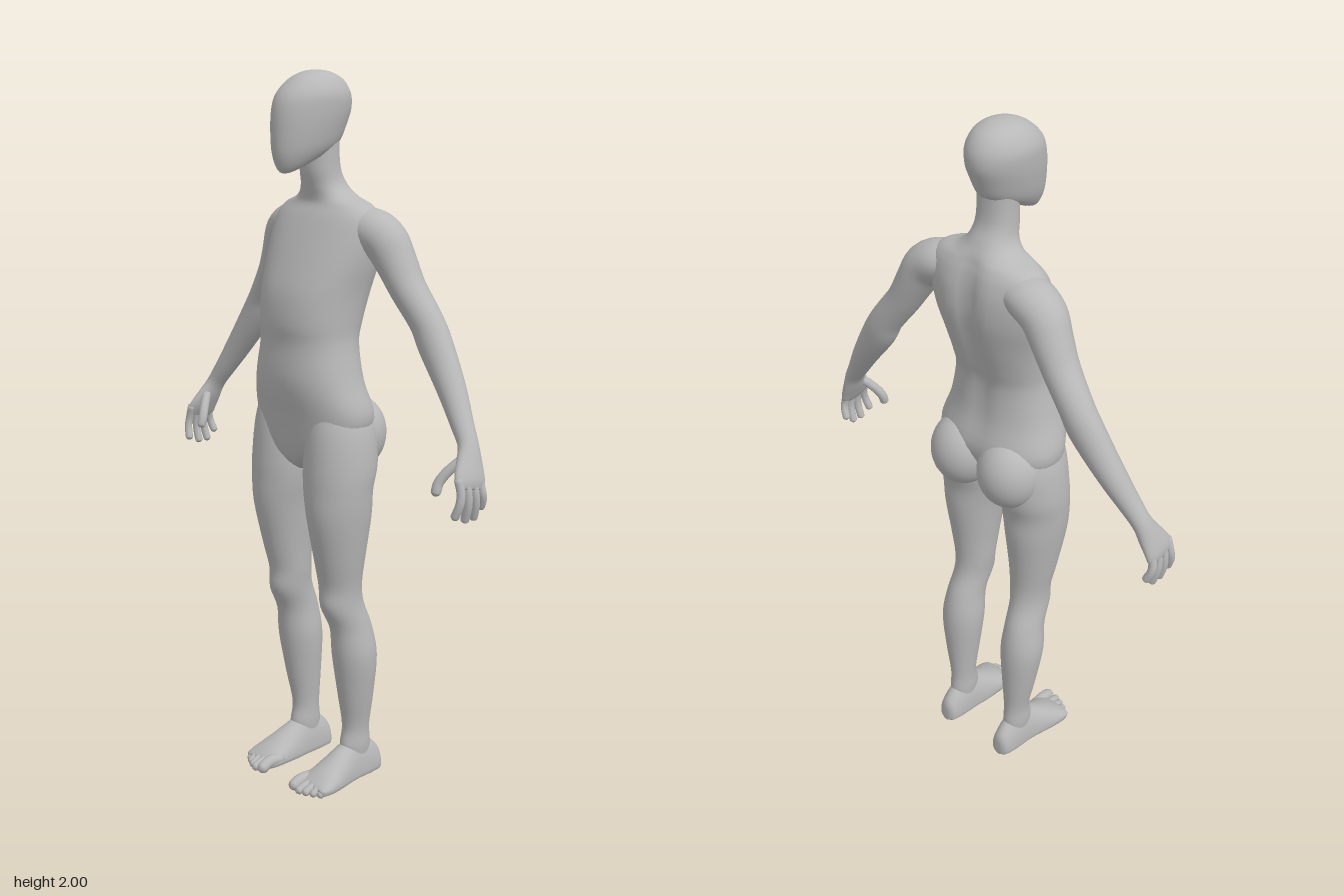
import * as THREE from 'three';

const skin = new THREE.MeshStandardMaterial({ color: 0xb8b8b8 });
skin.name = 'grey skin';

// Catmull-Rom resampling of a list of number rows
function resample(rows, steps) {
  const out = [];
  const last = rows.length - 1;
  for (let i = 0; i < last; i++) {
    const p = [rows[Math.max(i - 1, 0)], rows[i], rows[i + 1], rows[Math.min(i + 2, last)]];
    for (let k = 0; k < steps; k++) {
      const t = k / steps;
      out.push(rows[i].map((_, j) => {
        const [a, b, c, d] = p.map(r => r[j]);
        return b + 0.5 * t * (c - a + t * (2 * a - 5 * b + 4 * c - d + t * (3 * (b - c) + d - a)));
      }));
    }
  }
  out.push(rows[last]);
  return out;
}

// Smooth closed skin through cross-sections; pointAt(row, cos, sin, index, rows) gives [x, y, z]
function loft(name, stations, pointAt, { sides = 24, steps = 4, mirror = 1 } = {}) {
  const rows = resample(stations, steps);
  const pos = [], index = [];
  const ends = [[0, 0, 0], [0, 0, 0]];
  rows.forEach((row, i) => {
    for (let k = 0; k < sides; k++) {
      const a = (k / sides) * Math.PI * 2;
      const p = pointAt(row, Math.cos(a), Math.sin(a), i, rows);
      p[0] *= mirror;
      pos.push(...p);
      if (i === 0) p.forEach((v, j) => { ends[0][j] += v / sides; });
      if (i === rows.length - 1) p.forEach((v, j) => { ends[1][j] += v / sides; });
    }
  });
  const n = rows.length;
  pos.push(...ends[0], ...ends[1]);
  for (let k = 0; k < sides; k++) {
    const m = (k + 1) % sides;
    for (let i = 0; i < n - 1; i++) {
      const a = i * sides + k, b = i * sides + m;
      index.push(a, b, a + sides, b, b + sides, a + sides);
    }
    const e = (n - 1) * sides;
    index.push(n * sides, m, k, n * sides + 1, e + k, e + m);
  }
  // Turn the faces outward, judged by the signed volume
  const v = i => new THREE.Vector3().fromArray(pos, i * 3);
  let volume = 0;
  for (let i = 0; i < index.length; i += 3) volume += v(index[i]).dot(v(index[i + 1]).cross(v(index[i + 2])));
  if (volume < 0) index.reverse();
  const geo = new THREE.BufferGeometry();
  geo.setAttribute('position', new THREE.Float32BufferAttribute(pos, 3));
  geo.setIndex(index);
  geo.computeVertexNormals();
  const mesh = new THREE.Mesh(geo, skin);
  mesh.name = name;
  return mesh;
}

const soft = (v, p) => Math.sign(v) * Math.pow(Math.abs(v), p);

// Tube along a path; rows are [x, y, z, half thickness, half breadth], breadth follows ref
function limb(name, rows, ref, opts) {
  return loft(name, rows, (r, c, s, i, all) => {
    const a = all[Math.max(i - 1, 0)], b = all[Math.min(i + 1, all.length - 1)];
    const t = new THREE.Vector3(b[0] - a[0], b[1] - a[1], b[2] - a[2]).normalize();
    const u = new THREE.Vector3().crossVectors(ref, t).normalize();
    const w = new THREE.Vector3().crossVectors(t, u);
    return new THREE.Vector3(r[0], r[1], r[2])
      .addScaledVector(u, c * r[3]).addScaledVector(w, s * r[4]).toArray();
  }, opts);
}

// Finger or toe of even radius with a rounded tip
function digit(name, path, r, ref, mirror) {
  const rows = path.map(p => [...p, r, r]);
  const a = path[path.length - 2], b = path[path.length - 1];
  const d = new THREE.Vector3(...b).sub(new THREE.Vector3(...a)).normalize();
  for (const [f, q] of [[0.6, 0.78], [0.95, 0.25]]) {
    rows.push([b[0] + d.x * r * f, b[1] + d.y * r * f, b[2] + d.z * r * f, r * q, r * q]);
  }
  return limb(name, rows, ref, { sides: 10, steps: 3, mirror });
}

const X = new THREE.Vector3(1, 0, 0), Z = new THREE.Vector3(0, 0, 1);

function makeLeg(m) {
  const leg = new THREE.Group();
  leg.name = m > 0 ? 'leftLeg' : 'rightLeg';
  // y, inner x, outer x, front z, back z
  leg.add(loft('legSkin', [
    [1.13, 0.05, 0.165, 0.09, -0.07], [1.05, 0.02, 0.196, 0.105, -0.1],
    [0.95, 0.012, 0.209, 0.112, -0.1], [0.88, 0.018, 0.207, 0.113, -0.083],
    [0.8, 0.032, 0.199, 0.11, -0.08], [0.68, 0.045, 0.18, 0.085, -0.066],
    [0.6, 0.051, 0.166, 0.067, -0.061], [0.54, 0.058, 0.164, 0.066, -0.07],
    [0.47, 0.062, 0.17, 0.034, -0.095], [0.38, 0.056, 0.18, 0.022, -0.11],
    [0.26, 0.066, 0.164, 0.002, -0.106], [0.16, 0.075, 0.146, -0.015, -0.1],
    [0.1, 0.075, 0.146, -0.005, -0.105], [0.05, 0.08, 0.14, -0.02, -0.1],
  ], ([y, xi, xo, zf, zb], c, s) =>
    [(xi + xo) / 2 + c * (xo - xi) / 2, y, (zf + zb) / 2 + s * (zf - zb) / 2], { sides: 28, mirror: m }));
  // z, inner x, outer x, top y; the sole is flat
  leg.add(loft('foot', [
    [-0.143, 0.098, 0.122, 0.05], [-0.132, 0.08, 0.14, 0.078], [-0.09, 0.072, 0.148, 0.115],
    [-0.04, 0.068, 0.152, 0.122], [0, 0.062, 0.16, 0.104], [0.05, 0.058, 0.172, 0.076],
    [0.09, 0.056, 0.178, 0.052], [0.115, 0.06, 0.174, 0.034], [0.122, 0.07, 0.164, 0.026],
  ], ([z, xi, xo, top], c, s) => [
    (xi + xo) / 2 + c * (xo - xi) / 2,
    s > 0 ? 0.02 + (top - 0.02) * s : 0.02 - 0.02 * Math.sqrt(-s), z], { mirror: m }));
  // Toes: x, tip z, radius
  [[0.073, 0.142, 0.017], [0.1, 0.147, 0.012], [0.121, 0.14, 0.0115], [0.141, 0.13, 0.011], [0.16, 0.118, 0.0105]]
    .forEach(([x, z, r]) => leg.add(digit('toe',
      [[x, 0.025, 0.07], [x, r + 0.01, (z + 0.09) / 2], [x - 0.002, r, z]], r, X, m)));
  return leg;
}

function makeArm(m) {
  const arm = new THREE.Group();
  arm.name = m > 0 ? 'leftArm' : 'rightArm';
  arm.add(limb('armSkin', [
    [0.1, 1.595, -0.06, 0.045, 0.06], [0.15, 1.588, -0.064, 0.058, 0.068],
    [0.2, 1.56, -0.07, 0.06, 0.064], [0.235, 1.505, -0.078, 0.053, 0.058],
    [0.273, 1.44, -0.085, 0.047, 0.052], [0.332, 1.36, -0.095, 0.046, 0.046],
    [0.368, 1.302, -0.094, 0.049, 0.044], [0.44, 1.2, -0.082, 0.038, 0.039],
    [0.495, 1.12, -0.066, 0.029, 0.032], [0.528, 1.072, -0.056, 0.024, 0.03],
    [0.547, 1.03, -0.042, 0.022, 0.041], [0.564, 0.99, -0.027, 0.018, 0.051],
    [0.57, 0.968, -0.022, 0.011, 0.045],
  ], Z, { mirror: m }));
  // Fingers: z at knuckle, z at tip, tip y
  [[0.014, 0.024, 0.905], [-0.011, -0.012, 0.891], [-0.036, -0.043, 0.892], [-0.06, -0.07, 0.915]]
    .forEach(([z, zt, y]) => arm.add(digit('finger',
      [[0.562, 1.0, z], [0.573, 0.965, z], [0.574, (y + 0.965) / 2, (z + zt) / 2], [0.564, y, zt]], 0.0115, Z, m)));
  arm.add(digit('thumb',
    [[0.54, 1.045, -0.03], [0.514, 1.01, 0.0], [0.499, 0.98, 0.018], [0.497, 0.957, 0.026]], 0.0135, Z, m));
  return arm;
}

export function createModel() {
  const body = new THREE.Group();
  body.name = 'figure';

  // Torso and neck: y, half width, front z, back z, spine groove depth
  body.add(loft('torso', [
    [0.925, 0.02, 0.06, 0.0, 0], [0.95, 0.06, 0.09, -0.05, 0], [1.0, 0.15, 0.107, -0.085, 0],
    [1.08, 0.195, 0.12, -0.118, 0.005], [1.18, 0.171, 0.14, -0.096, 0.008], [1.28, 0.151, 0.135, -0.09, 0.01],
    [1.34, 0.151, 0.14, -0.105, 0.014], [1.42, 0.159, 0.13, -0.13, 0.02], [1.5, 0.175, 0.1, -0.148, 0.022],
    [1.57, 0.183, 0.068, -0.148, 0.022], [1.62, 0.178, 0.042, -0.136, 0.016], [1.65, 0.148, 0.024, -0.122, 0.01],
    [1.67, 0.095, 0.022, -0.11, 0.004], [1.7, 0.064, 0.028, -0.09, 0], [1.75, 0.055, 0.036, -0.067, 0],
    [1.85, 0.055, 0.03, -0.06, 0],
  ], ([y, rx, zf, zb, g], c, s) => {
    const x = rx * soft(c, 0.9);
    const groove = s < 0 ? g * Math.exp(-((x / 0.03) ** 2)) : 0;
    return [x, y, (zf + zb) / 2 + soft(s, 0.9) * (zf - zb) / 2 + groove];
  }, { sides: 48 }));

  // Head: y, forward tilt, half width, front z, back z
  body.add(loft('head', [
    [1.768, -0.03, 0.02, 0.085, -0.02], [1.772, -0.035, 0.043, 0.12, -0.055], [1.8, -0.022, 0.064, 0.138, -0.075],
    [1.85, -0.01, 0.077, 0.14, -0.092], [1.9, 0, 0.084, 0.134, -0.106], [1.94, 0, 0.083, 0.117, -0.103],
    [1.975, 0, 0.064, 0.08, -0.08], [1.994, 0, 0.036, 0.042, -0.044], [2.0, 0, 0.008, 0.01, -0.01],
  ], ([y, tilt, rx, zf, zb], c, s) =>
    [rx * c, y + tilt * s, (zf + zb) / 2 + s * (zf - zb) / 2], { sides: 36 }));

  for (const m of [1, -1]) {
    const buttock = new THREE.Mesh(new THREE.SphereGeometry(1, 28, 20), skin);
    buttock.name = m > 0 ? 'leftButtock' : 'rightButtock';
    buttock.scale.set(0.094, 0.108, 0.096);
    buttock.position.set(m * 0.086, 1.025, -0.06);
    body.add(buttock, makeLeg(m), makeArm(m));
  }
  return body;
}
